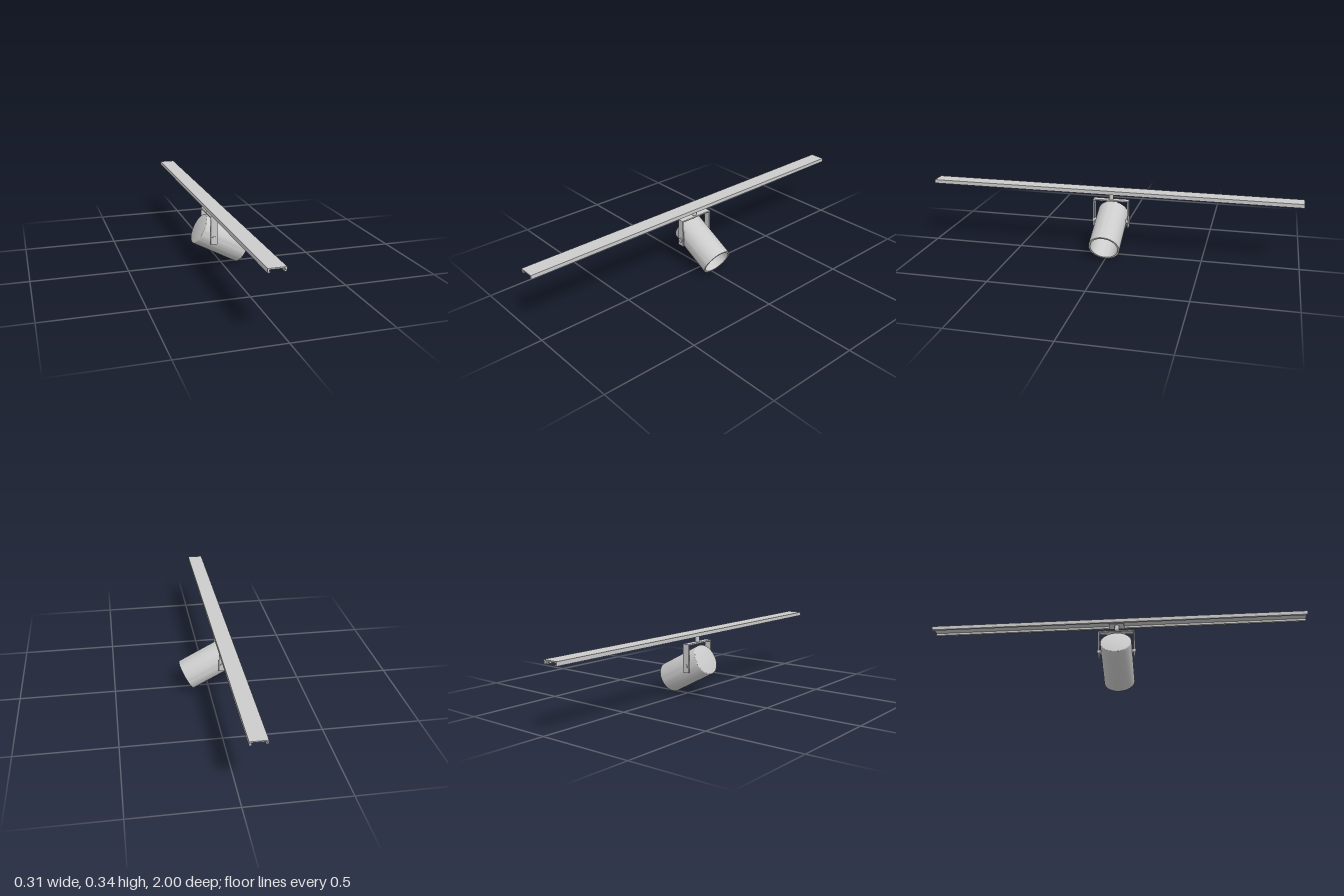
import * as THREE from 'three';
import { toCreasedNormals } from 'three/addons/utils/BufferGeometryUtils.js';
import { RoundedBoxGeometry } from 'three/addons/geometries/RoundedBoxGeometry.js';

const material = new THREE.MeshStandardMaterial({ color: 0xcccccc });
const PIVOT_X = -0.063;

function add(parent, name, geometry, x = 0, y = 0, z = 0) {
  const mesh = new THREE.Mesh(geometry, material);
  mesh.name = name;
  mesh.position.set(x, y, z);
  parent.add(mesh);
  return mesh;
}

// Shape from the right half of a profile, mirrored about x = 0
function mirroredShape(half) {
  const left = half.slice().reverse().map(([x, y]) => [-x, y]);
  return new THREE.Shape([...half, ...left].map(([x, y]) => new THREE.Vector2(x, y)));
}

function extrudeZ(half, length) {
  const geometry = new THREE.ExtrudeGeometry(mirroredShape(half), { depth: length, bevelEnabled: false });
  return geometry.translate(0, 0, -length / 2);
}

export function createModel() {
  const model = new THREE.Group();
  model.name = 'trackSpotlight';

  // Ceiling track: a shallow channel with inward lips, open below
  const track = [
    [0.029, 0.324], [0.0415, 0.324], [0.0415, 0.344],
  ];
  const inner = [[0.034, 0.338], [0.034, 0.329], [0.029, 0.329]];
  const outline = [
    ...track, ...track.slice().reverse().map(([x, y]) => [-x, y]),
    ...inner.slice().reverse().map(([x, y]) => [-x, y]), ...inner,
  ];
  const trackShape = new THREE.Shape(outline.map(([x, y]) => new THREE.Vector2(x, y)));
  const trackGeometry = new THREE.ExtrudeGeometry(trackShape, { depth: 2, bevelEnabled: false });
  add(model, 'track', trackGeometry.translate(0, 0, -1), PIVOT_X);

  // Adapter held in the track by wings above the lips
  add(model, 'adapter', extrudeZ([
    [0.026, 0.322], [0.0285, 0.325], [0.0285, 0.33],
    [0.033, 0.332], [0.033, 0.334], [0.03, 0.336],
  ], 0.08), PIVOT_X);

  // Stem
  add(model, 'stem', new THREE.CylinderGeometry(0.0115, 0.0115, 0.042, 32), PIVOT_X, 0.304);

  // Yoke: top bar, two arms and their pivot bolts
  const yoke = new THREE.Group();
  yoke.name = 'yoke';
  yoke.position.x = PIVOT_X;
  model.add(yoke);
  add(yoke, 'yokeBar', new RoundedBoxGeometry(0.037, 0.008, 0.194, 2, 0.002), 0, 0.284);
  for (const [side, s] of [['front', 1], ['back', -1]]) {
    add(yoke, side + 'Arm', new THREE.BoxGeometry(0.035, 0.146, 0.007), 0, 0.21, s * 0.0935);
    const bolt = add(yoke, side + 'Bolt', new THREE.CylinderGeometry(0.012, 0.012, 0.025, 32), 0, 0.17, s * 0.089);
    bolt.rotation.x = Math.PI / 2;
  }

  // Lamp head: closed back with a rounded rim, deep bore open at the front
  const head = new THREE.Group();
  head.name = 'lampHead';
  head.position.set(-0.12, 0.2005, 0);
  head.rotation.z = THREE.MathUtils.degToRad(-118.2);
  model.add(head);
  const housing = [
    [0, 0], [0.078, 0], [0.0804, 0.0007], [0.0819, 0.0022], [0.0825, 0.0045],
    [0.0825, 0.267], [0.073, 0.267], [0.073, 0.09], [0, 0.09],
  ].map(([r, y]) => new THREE.Vector2(r, y));
  add(head, 'housing', toCreasedNormals(new THREE.LatheGeometry(housing, 64), 0.6));

  // Lamp at the bottom of the bore, with a raised ring and a slightly domed lens
  const lamp = [
    [0.062, 0.088], [0.062, 0.1], [0.054, 0.1], [0.052, 0.095], [0.03, 0.098], [0, 0.099],
  ].map(([r, y]) => new THREE.Vector2(r, y));
  add(head, 'lamp', toCreasedNormals(new THREE.LatheGeometry(lamp, 48), 0.6));

  return model;
}
